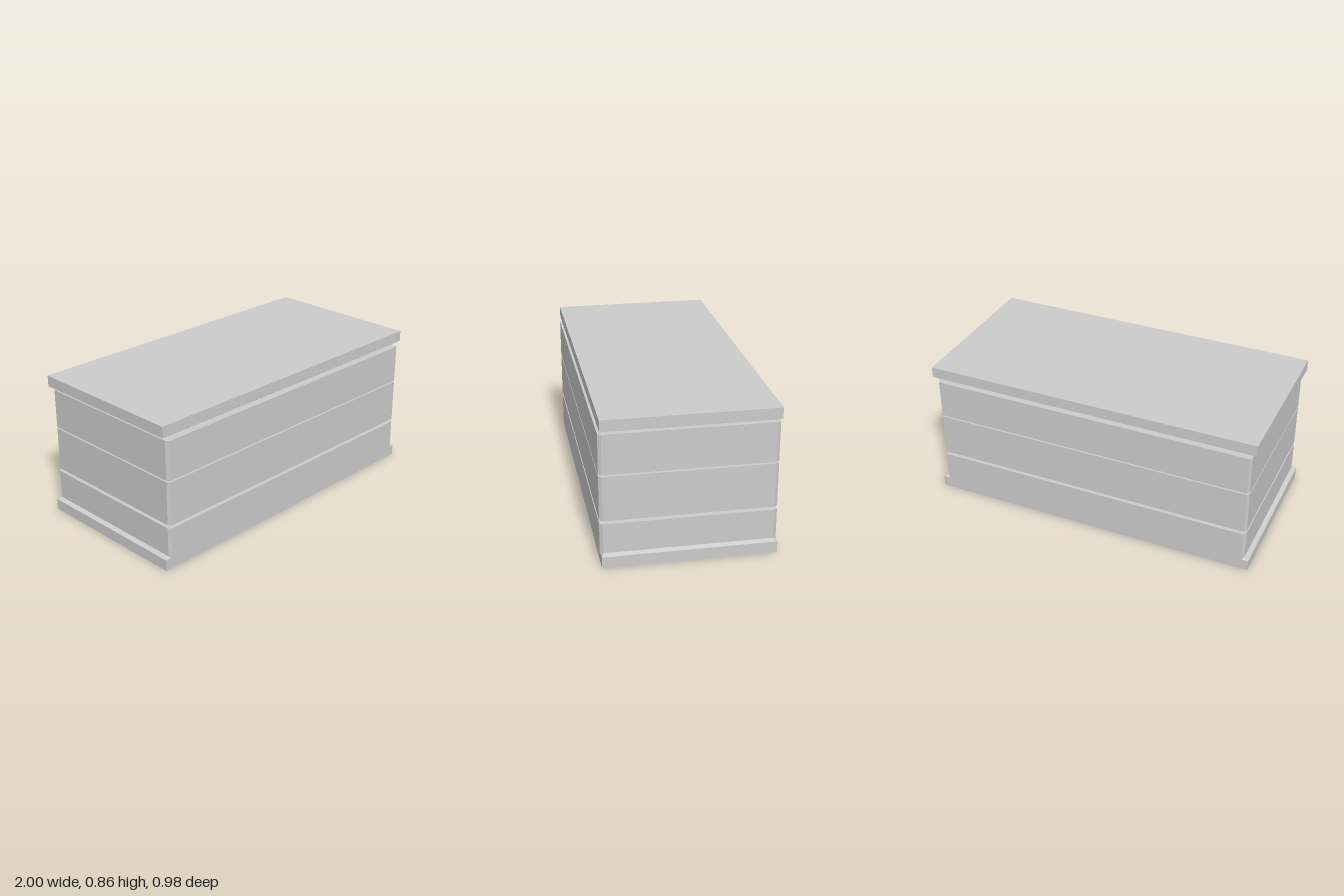
import * as THREE from 'three';

const material = new THREE.MeshStandardMaterial({ color: 0xcccccc, flatShading: true });

// Closed solid through rectangular rings [halfX, back z, front z, y], listed bottom to top
function loftRects(rings) {
  const pos = [];
  const index = [];
  for (const [x, zb, zf, y] of rings) pos.push(-x, y, zf, x, y, zf, x, y, zb, -x, y, zb);
  for (let r = 0; r < rings.length - 1; r++) {
    for (let i = 0; i < 4; i++) {
      const a = r * 4 + i, b = r * 4 + (i + 1) % 4;
      index.push(a, b, b + 4, a, b + 4, a + 4);
    }
  }
  const t = (rings.length - 1) * 4;
  index.push(0, 2, 1, 0, 3, 2, t, t + 1, t + 2, t, t + 2, t + 3);
  const indexed = new THREE.BufferGeometry();
  indexed.setAttribute('position', new THREE.Float32BufferAttribute(pos, 3));
  indexed.setIndex(index);
  const geometry = indexed.toNonIndexed();
  geometry.computeVertexNormals();
  return geometry;
}

// Slab with bevelled vertical corners
function slab(y0, y1) {
  const x = 0.973, z = 0.489, cx = 0.013, cz = 0.018;
  const shape = new THREE.Shape([
    [x - cx, -z], [x, -z + cz], [x, z - cz], [x - cx, z],
    [-x + cx, z], [-x, z - cz], [-x, -z + cz], [-x + cx, -z],
  ].map(([px, py]) => new THREE.Vector2(px, py)));
  const geometry = new THREE.ExtrudeGeometry(shape, { depth: y1 - y0, bevelEnabled: false });
  geometry.rotateX(-Math.PI / 2);
  geometry.translate(0, y0, 0);
  return geometry;
}

export function createModel() {
  const model = new THREE.Group();
  model.name = 'stackedChest';
  const add = (name, geometry) => {
    const mesh = new THREE.Mesh(geometry, material);
    mesh.name = name;
    model.add(mesh);
  };

  // Plinth with bevelled upper rim
  add('base', loftRects([
    [1, -0.488, 0.483, 0],
    [1, -0.488, 0.483, 0.066],
    [0.973, -0.472, 0.468, 0.076],
  ]));

  // Three body tiers separated by narrow gaps
  add('lowerTier', slab(0.066, 0.25));
  add('middleTier', slab(0.269, 0.528));
  add('upperTier', slab(0.537, 0.768));

  // Lid with bevelled lower rim
  add('lid', loftRects([
    [0.973, -0.472, 0.468, 0.785],
    [1, -0.488, 0.483, 0.795],
    [1, -0.488, 0.483, 0.86],
  ]));

  return model;
}
